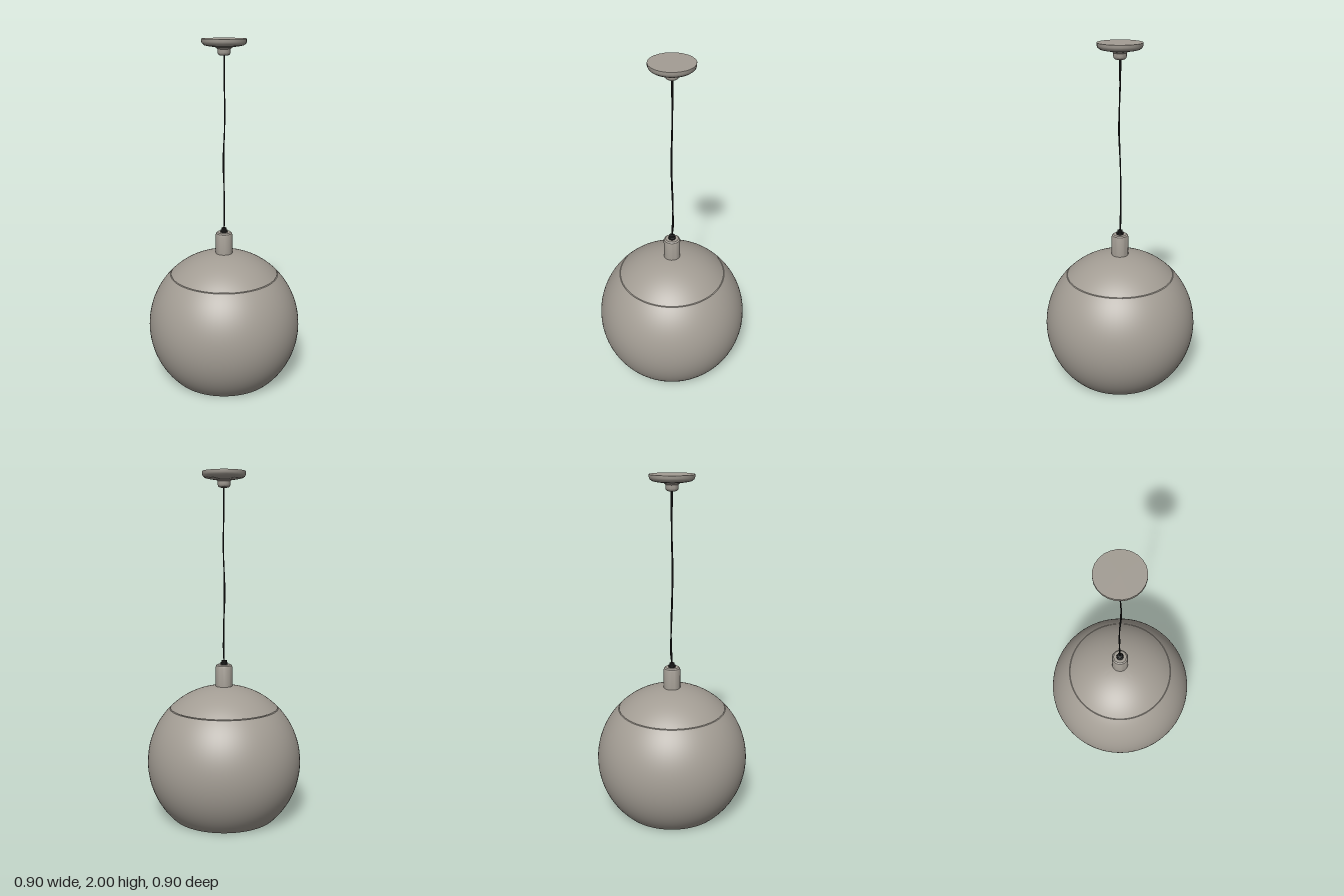
import * as THREE from 'three';
import { toCreasedNormals } from 'three/addons/utils/BufferGeometryUtils.js';

const metal = new THREE.MeshStandardMaterial({ color: 0xa39d94 });
metal.name = 'warm grey metal';
const black = new THREE.MeshStandardMaterial({ color: 0x1c1c1c });
black.name = 'black cable';

const CENTRE_Y = 0.33, RADIUS = 0.45, WALL = 0.008;

// Turned part; profile runs so that the outer wall goes upward
function turned(name, profile, material, sides, crease = 0.6) {
  const points = profile.map(([r, y]) => new THREE.Vector2(r, y));
  const geometry = toCreasedNormals(new THREE.LatheGeometry(points, sides), crease);
  const mesh = new THREE.Mesh(geometry, material);
  mesh.name = name;
  return mesh;
}

// Points on a sphere between two heights, measured from the sphere centre
function arc(radius, fromY, toY, steps) {
  const a = Math.asin(fromY / radius), b = Math.asin(toY / radius);
  return Array.from({ length: steps + 1 }, (_, i) => {
    const t = a + (b - a) * i / steps;
    return [Math.max(0, radius * Math.cos(t)), CENTRE_Y + radius * Math.sin(t)];
  });
}

// Hollow spherical band with closed rims
function shell(name, lowY, highY, steps) {
  const inner = RADIUS - WALL;
  const top = highY === RADIUS ? inner : highY;
  const profile = [...arc(inner, top, lowY, steps), ...arc(RADIUS, lowY, highY, steps)];
  if (highY < RADIUS) profile.push(profile[0]);
  return turned(name, profile, metal, 72);
}

function strand(name, points) {
  const curve = new THREE.CatmullRomCurve3(points.map(p => new THREE.Vector3(...p)));
  const mesh = new THREE.Mesh(new THREE.TubeGeometry(curve, 60, 0.0035, 8), black);
  mesh.name = name;
  return mesh;
}

export function createModel() {
  const model = new THREE.Group();
  model.name = 'pendantLamp';

  // Globe shade, open below, with a separate cap above a fine joint
  model.add(shell('shade', 0.004 - CENTRE_Y, 0.318, 36));
  model.add(shell('shadeCap', 0.322, RADIUS, 14));

  // Lamp holder standing on the cap
  model.add(turned('lampHolder', [
    [0, 0.765], [0.049, 0.765], [0.049, 0.89], [0.046, 0.899], [0.038, 0.905], [0, 0.905],
  ], metal, 32));

  // Cable grip
  model.add(turned('cableGrip', [
    [0, 0.9], [0.021, 0.9], [0.021, 0.916], [0.016, 0.92], [0.016, 0.929], [0, 0.931],
  ], black, 16));

  // Two loosely twisted cable strands
  model.add(strand('cableStrandA', [
    [0, 0.92, 0], [0.001, 1.0, -0.008], [0, 1.15, -0.003], [-0.005, 1.32, 0.002],
    [0.004, 1.5, 0.005], [0.005, 1.6, 0.003], [0.002, 1.75, -0.003], [0, 1.92, -0.006],
  ]));
  model.add(strand('cableStrandB', [
    [0, 0.92, 0], [0, 1.0, -0.002], [-0.001, 1.15, -0.006], [-0.002, 1.32, -0.001],
    [0.003, 1.5, 0.002], [0.006, 1.6, 0], [0.001, 1.75, 0], [0, 1.92, 0.002],
  ]));

  // Ceiling canopy with stepped neck
  model.add(turned('ceilingCanopy', [
    [0, 1.912], [0.025, 1.912], [0.033, 1.918], [0.036, 1.926], [0.036, 1.945],
    [0.045, 1.954], [0.09, 1.961], [0.108, 1.965], [0.12, 1.974], [0.125, 1.986],
    [0.125, 2.0], [0, 2.0],
  ], metal, 24));

  return model;
}
